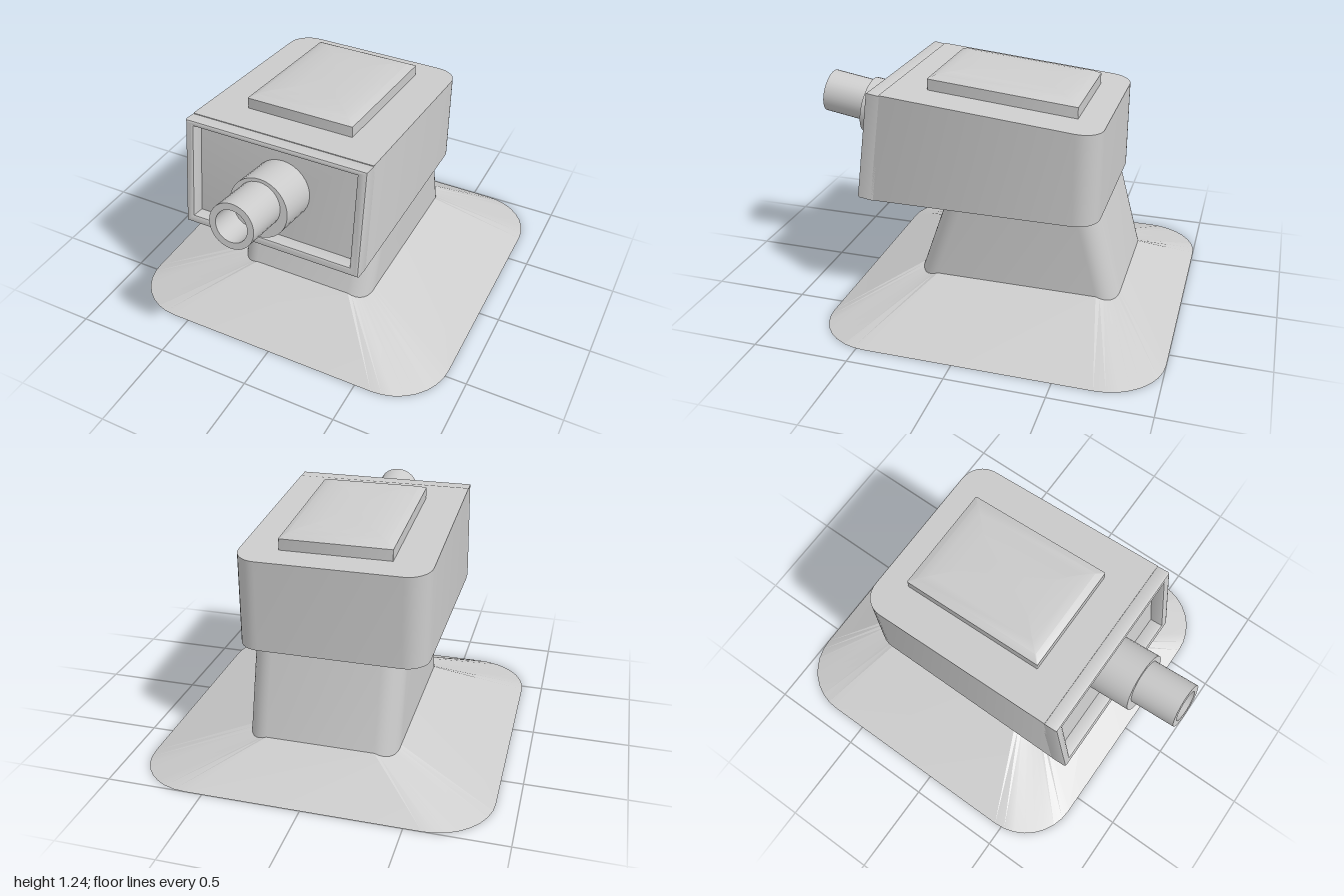
import * as THREE from 'three';
import { toCreasedNormals } from 'three/addons/utils/BufferGeometryUtils.js';

const material = new THREE.MeshStandardMaterial({ color: 0xcccccc });

function part(name, geometry, crease = 0.5) {
  const mesh = new THREE.Mesh(toCreasedNormals(geometry, crease), material);
  mesh.name = name;
  return mesh;
}

// Rounded rectangle in plan, counterclockwise from above.
// height(z, c) gives y, where c is 1 at the middle of a corner and 0 on the sides.
function ring(x0, x1, z0, z1, rBack, rFront, height) {
  const points = [], n = 8;
  const corners = [
    [x1 - rBack, z0 + rBack, rBack], [x0 + rBack, z0 + rBack, rBack],
    [x0 + rFront, z1 - rFront, rFront], [x1 - rFront, z1 - rFront, rFront],
  ];
  corners.forEach(([cx, cz, r], k) => {
    for (let i = 0; i <= n; i++) {
      const a = (k + i / n) * Math.PI / 2;
      const z = cz - r * Math.sin(a);
      points.push([cx + r * Math.cos(a), height(z, Math.sin(Math.PI * i / n)), z]);
    }
  });
  return points;
}

// Skin over a stack of rings, from bottom to top, with optional end caps
function loft(rings, capBottom, capTop) {
  const n = rings[0].length, position = rings.flat(2), index = [];
  for (let r = 0; r < rings.length - 1; r++) {
    for (let i = 0; i < n; i++) {
      const a = r * n + i, b = r * n + (i + 1) % n;
      index.push(a, b, b + n, a, b + n, a + n);
    }
  }
  const cap = (r, up) => {
    const centre = position.length / 3;
    for (let k = 0; k < 3; k++) position.push(rings[r].reduce((s, p) => s + p[k], 0) / n);
    for (let i = 0; i < n; i++) {
      const a = r * n + i, b = r * n + (i + 1) % n;
      index.push(centre, up ? a : b, up ? b : a);
    }
  };
  if (capBottom) cap(0, false);
  if (capTop) cap(rings.length - 1, true);
  const geometry = new THREE.BufferGeometry();
  geometry.setAttribute('position', new THREE.Float32BufferAttribute(position, 3));
  geometry.setIndex(index);
  return geometry;
}

export function createModel() {
  const model = new THREE.Group();
  model.name = 'nozzleHead';

  // Flared foot and tapered neck share a seam that dips at the corners
  const seam = ring(-0.40, 0.375, -0.71, 0.36, 0.11, 0.11, (z, c) => 0.19 - 0.022 * c);
  const foot = ring(-0.89, 0.89, -1, 0.76, 0.3, 0.3, () => 0);
  const neckTop = ring(-0.40, 0.375, -0.59, 0.21, 0.11, 0.11, () => 0.62);
  model.add(part('base', loft([foot, seam], true, false), 0.3));
  model.add(part('neck', loft([seam, neckTop], false, true)));

  // Head with a sloping top, rounded at the back
  const slope = 0.094;
  const topY = (z) => 1.08 + slope * (z + 0.6);
  model.add(part('head', loft([
    ring(-0.51, 0.455, -0.6, 0.58, 0.12, 0.005, () => 0.61),
    ring(-0.51, 0.455, -0.6, 0.50, 0.12, 0.005, topY),
  ], true, true)));

  // Raised frame around the recessed front panel
  const outline = new THREE.Shape([[-0.51, 0], [0.455, 0], [0.455, 0.575], [-0.51, 0.575]]
    .map(([x, y]) => new THREE.Vector2(x, y)));
  outline.holes.push(new THREE.Path([[-0.465, 0.045], [-0.465, 0.545], [0.405, 0.545], [0.405, 0.045]]
    .map(([x, y]) => new THREE.Vector2(x, y))));
  const bevel = 0.012;
  const frameGeometry = new THREE.ExtrudeGeometry(outline, {
    depth: 0.076, bevelEnabled: true, bevelSegments: 2,
    bevelSize: bevel, bevelThickness: bevel, bevelOffset: -bevel,
  });
  frameGeometry.translate(0, 0, -0.076 - bevel);
  const frame = part('frontFrame', frameGeometry);
  frame.position.set(0, 0.62, 0.65);
  frame.rotation.x = -0.14;
  model.add(frame);

  // Domed pad on the sloping top: [inset, height above the head]
  const padRings = [[0, -0.02], [0, 0.058], [0.035, 0.076], [0.08, 0.085], [0.17, 0.09]]
    .map(([d, h]) => ring(-0.31 + d, 0.26 - d, -0.455 + d, 0.32 - d, 0.004, 0.004, (z) => topY(z) + h));
  model.add(part('topPad', loft(padRings, false, true), 0.35));

  // Upward tilted spout: hollow pipe set in a wider collar
  const spout = new THREE.Group();
  spout.name = 'spout';
  spout.position.set(-0.01, 1.015, 0.982);
  spout.rotation.x = Math.PI / 2 - 0.165;
  const pipeProfile = [[0.115, -0.4], [0.115, 0], [0.082, 0], [0.082, -0.16], [0, -0.16]]
    .map(([r, y]) => new THREE.Vector2(r, y));
  spout.add(part('pipe', new THREE.LatheGeometry(pipeProfile, 32)));
  const collar = part('collar', new THREE.CylinderGeometry(0.153, 0.153, 0.27, 32));
  collar.position.set(0, -0.37, 0.022);
  spout.add(collar);
  model.add(spout);

  return model;
}
